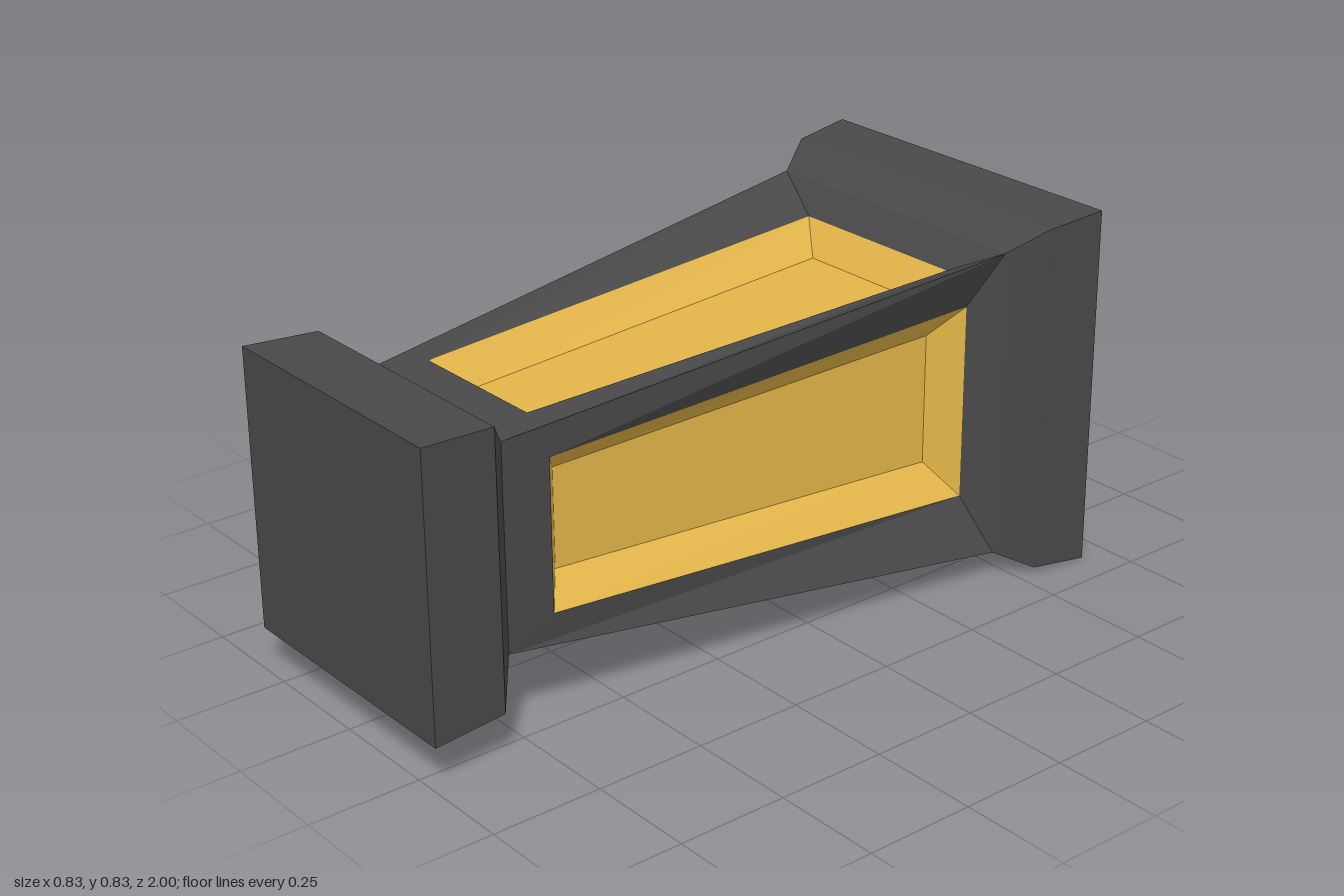
import * as THREE from 'three';
import { toCreasedNormals } from 'three/addons/utils/BufferGeometryUtils.js';

const CENTRE_Y = 0.415;

// Flat-shaded geometry from a list of four-cornered faces
function quadGeometry(quads) {
  const pos = [];
  for (const [a, b, c, d] of quads) pos.push(...a, ...b, ...c, ...a, ...c, ...d);
  const g = new THREE.BufferGeometry();
  g.setAttribute('position', new THREE.Float32BufferAttribute(pos, 3));
  g.computeVertexNormals();
  return g;
}

// Strip of faces between two four-cornered loops
const band = (outer, inner) => outer.map((p, i) => {
  const j = (i + 1) % 4;
  return [p, outer[j], inner[j], inner[i]];
});

// Square solid lofted along z from [z, halfWidth] steps, front to back
function squareLoft(steps) {
  const rings = steps.map(([z, h]) => [[-h, -h, z], [h, -h, z], [h, h, z], [-h, h, z]]);
  const quads = [rings[0], [...rings[rings.length - 1]].reverse()];
  for (let k = 0; k < rings.length - 1; k++) quads.push(...band(rings[k], rings[k + 1]).map(q => [q[0], q[3], q[2], q[1]]));
  return quadGeometry(quads);
}

// Loop on the upper side: half width and height at its front and back ends
const loop = (zFront, uFront, hFront, zBack, uBack, hBack) => [
  [-uFront, hFront, zFront], [uFront, hFront, zFront], [uBack, hBack, zBack], [-uBack, hBack, zBack],
];

export function createModel() {
  const metal = new THREE.MeshStandardMaterial({ color: 0x484848 });
  metal.name = 'dark metal';
  const glass = new THREE.MeshStandardMaterial({ color: 0xe2b448 });
  glass.name = 'amber glass';

  const model = new THREE.Group();
  model.name = 'lantern';
  const lantern = new THREE.Group();
  lantern.name = 'lanternBody';
  lantern.position.y = CENTRE_Y;
  model.add(lantern);

  const add = (parent, name, geometry, material) => {
    const mesh = new THREE.Mesh(geometry, material);
    mesh.name = name;
    parent.add(mesh);
  };

  // Base block and flared roof cap
  add(lantern, 'base', squareLoft([[1, 0.315], [0.83, 0.306], [0.765, 0.23]]), metal);
  add(lantern, 'roof', squareLoft([[-0.455, 0.353], [-0.54, 0.4], [-0.68, 0.415], [-0.78, 0.083]]), metal);

  // Four tapered sides: the corner posts flare out more than the sunken windows
  const edge = loop(0.765, 0.23, 0.23, -0.455, 0.353, 0.353);
  const opening = loop(0.66, 0.17, 0.24, -0.41, 0.224, 0.288);
  const pane = loop(0.61, 0.112, 0.178, -0.358, 0.15, 0.221);
  const frameGeometry = quadGeometry(band(edge, opening));
  const windowGeometry = quadGeometry([...band(opening, pane), pane]);
  ['top', 'right', 'bottom', 'left'].forEach((side, i) => {
    const group = new THREE.Group();
    group.name = side + 'Side';
    group.rotation.z = i * Math.PI / 2;
    add(group, side + 'Frame', frameGeometry, metal);
    add(group, side + 'Window', windowGeometry, glass);
    lantern.add(group);
  });

  // Pointed finial behind the roof
  const outline = [[-0.081, 0.77], [0.081, 0.77], [0.081, 0.9], [0.057, 0.975], [0, 1], [-0.057, 0.975], [-0.081, 0.9]];
  const finial = new THREE.ExtrudeGeometry(new THREE.Shape(outline.map(p => new THREE.Vector2(...p))), { depth: 0.164, bevelEnabled: false });
  finial.translate(0, 0, -0.082).rotateX(-Math.PI / 2);
  add(lantern, 'finial', toCreasedNormals(finial, 0.5), metal);

  return model;
}
